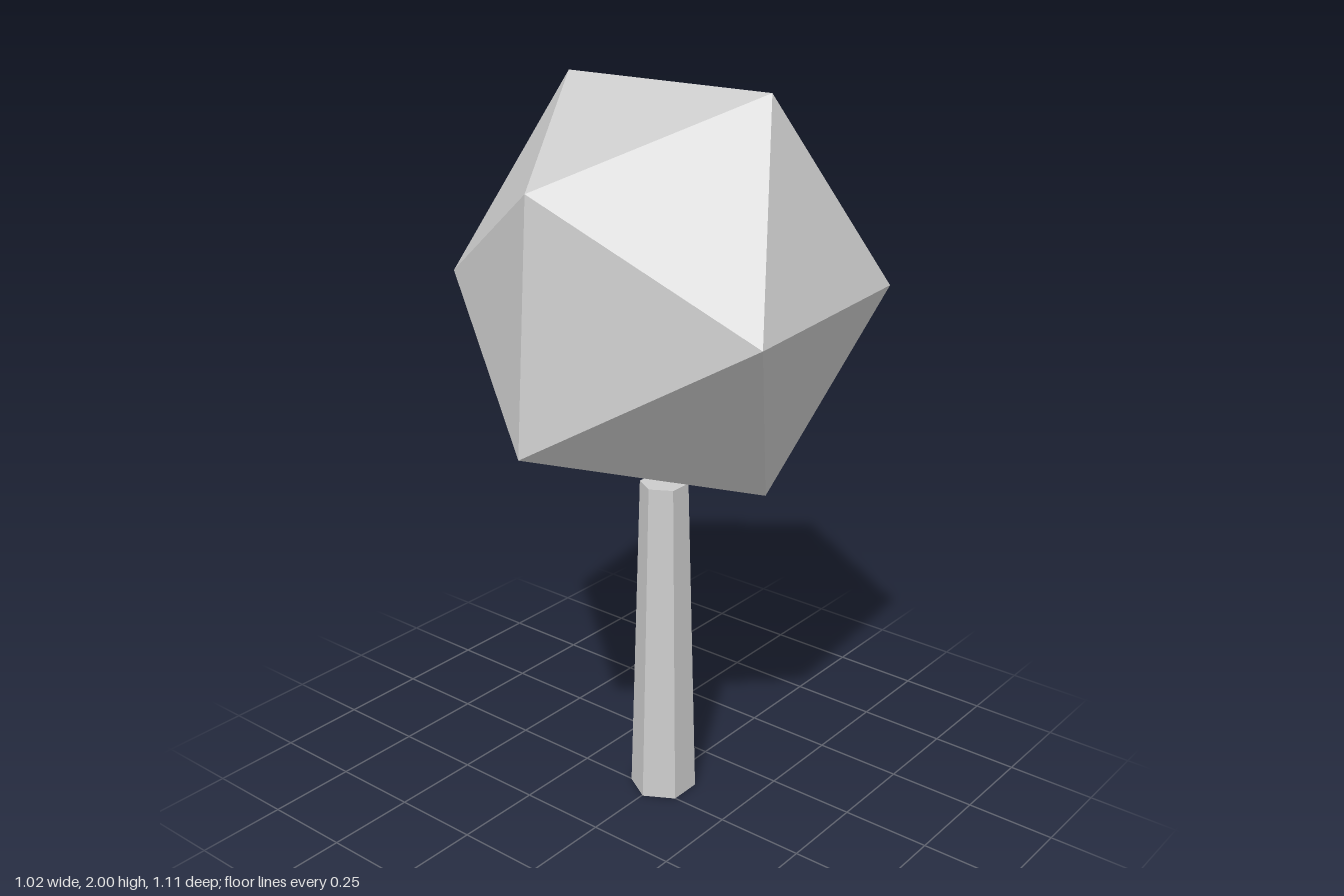
import * as THREE from 'three';
import { ConvexGeometry } from 'three/addons/geometries/ConvexGeometry.js';

export function createModel() {
  const model = new THREE.Group();
  model.name = 'tree';
  const grey = new THREE.MeshStandardMaterial({ color: 0xcccccc });
  grey.name = 'plain grey';
  const axisX = 0.045, axisZ = 0.003;

  // Crown: an irregular icosahedron, each corner pushed in or out, slightly squashed
  const phi = (1 + Math.sqrt(5)) / 2;
  const corners = [
    [0, phi, 1, 0.318], [0, phi, -1, 0.315], [0, -phi, 1, 0.331], [0, -phi, -1, 0.339],
    [-1, 0, phi, 0.339], [1, 0, phi, 0.299], [-1, 0, -phi, 0.289], [1, 0, -phi, 0.344],
    [-phi, 1, 0, 0.313], [phi, 1, 0, 0.283], [-phi, -1, 0, 0.343], [phi, -1, 0, 0.285],
  ];
  const crown = new THREE.Mesh(
    new ConvexGeometry(corners.map(([x, y, z, size]) =>
      new THREE.Vector3(x, y * 0.963, z).multiplyScalar(size))),
    grey
  );
  crown.name = 'crown';
  crown.position.set(axisX, 1.505, axisZ);

  // Trunk: tapered six-sided post with corners pointing sideways
  const height = 0.94;
  const post = new THREE.CylinderGeometry(0.066, 0.093, height, 6).rotateY(Math.PI / 6).toNonIndexed();
  post.computeVertexNormals();
  const trunk = new THREE.Mesh(post, grey);
  trunk.name = 'trunk';
  trunk.position.set(axisX, height / 2, axisZ);

  model.add(crown, trunk);
  return model;
}
